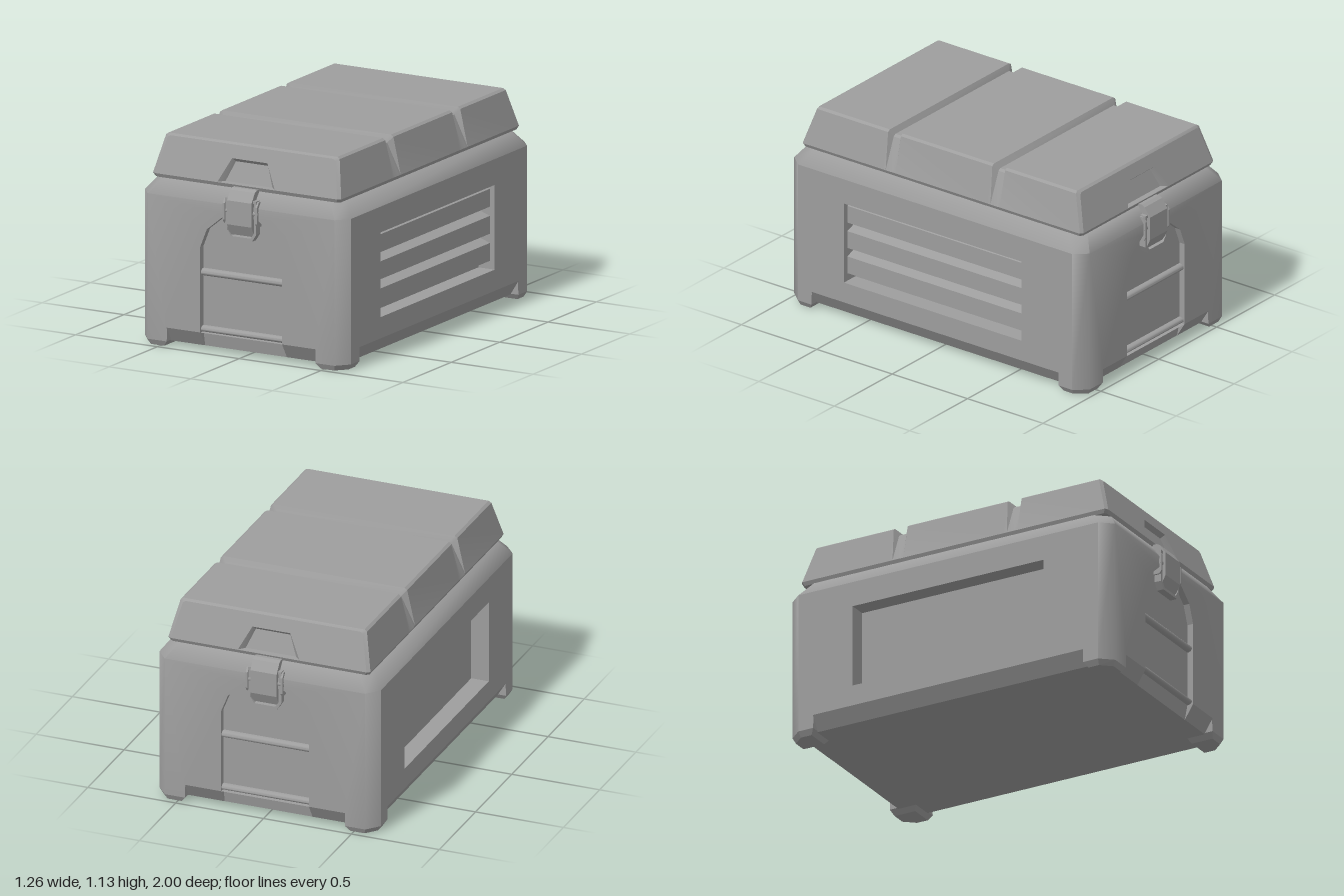
import * as THREE from 'three';
import { mergeGeometries, toCreasedNormals } from 'three/addons/utils/BufferGeometryUtils.js';
import { ConvexGeometry } from 'three/addons/geometries/ConvexGeometry.js';

const material = new THREE.MeshStandardMaterial({ color: 0x9d9d9d });

function add(parent, name, geometry) {
  const mesh = new THREE.Mesh(geometry, material);
  mesh.name = name;
  parent.add(mesh);
  return mesh;
}

// Skin between rings of [x, y, z]; rings run counter-clockwise against the direction of advance
function loft(rings, { closed = true, first = false, last = false } = {}) {
  const out = [], n = rings[0].length;
  for (let i = 0; i + 1 < rings.length; i++) {
    for (let j = 0; j < (closed ? n : n - 1); j++) {
      const k = (j + 1) % n, [p, q] = [rings[i], rings[i + 1]];
      out.push(p[j], p[k], q[k], p[j], q[k], q[j]);
    }
  }
  const cap = (ring, flip) => {
    const c = [0, 1, 2].map(a => ring.reduce((s, p) => s + p[a], 0) / n);
    ring.forEach((p, j) => {
      const q = ring[(j + 1) % n];
      out.push(c, ...(flip ? [q, p] : [p, q]));
    });
  };
  if (first) cap(rings[0], true);
  if (last) cap(rings[rings.length - 1], false);
  const g = new THREE.BufferGeometry();
  g.setAttribute('position', new THREE.Float32BufferAttribute(out.flat(), 3));
  return g;
}

const toShape = pts => new THREE.Shape(pts.map(p => new THREE.Vector2(...p)));
const mirrorX = half => [...half, ...half.map(([x, y]) => [-x, y]).reverse()];

// Flat sheet in x and y, with an optional hole, placed at depth z(y)
function sheet(outline, hole, z) {
  const shape = toShape(outline);
  if (hole) shape.holes.push(toShape(hole));
  const g = new THREE.ShapeGeometry(shape).toNonIndexed();
  g.deleteAttribute('uv');
  g.deleteAttribute('normal');
  const p = g.attributes.position;
  for (let i = 0; i < p.count; i++) p.setZ(i, z(p.getY(i)));
  return g;
}

// Profile of [z, y] points drawn out along x
function bar(profile, width, x = 0) {
  const g = new THREE.ExtrudeGeometry(toShape(profile), { depth: width, bevelEnabled: false });
  return g.rotateY(-Math.PI / 2).translate(x + width / 2, 0, 0);
}

// Horizontal outline of the body with cut corners; notch sets back the end panels
function plan(y, inset, notch) {
  const X = 0.63 - inset, x = 0.57 - inset, Z = 0.98 - inset, z = 0.91 - inset;
  const dent = notch ? [[0.25, -Z], [0.25, -Z + notch], [-0.25, -Z + notch], [-0.25, -Z]] : [];
  const half = [[X, z], [X, -z], [x, -Z], ...dent, [-x, -Z]];
  return [...half, ...half.map(p => [-p[0], -p[1]])].map(([a, b]) => [a, y, b]);
}

const arch = mirrorX([[0.25, 0.105], [0.25, 0.57], [0.21, 0.67], [0.1, 0.76]]);

function makeBody() {
  const body = new THREE.Group();
  body.name = 'body';

  // End walls, cut corners and shoulder share smooth normals
  const wall = sheet([...mirrorX([[0.455, 0.105], [0.455, 0.03], [0.57, 0.03], [0.57, 0.82]]),
    ...[...arch].reverse()], null, () => 0.98);
  const low = plan(0.03, 0), high = plan(0.82, 0);
  const corners = [1, 3, 5, 7].map(i => loft(
    [low, high].map(r => [r[i], r[(i + 1) % 8]]), { closed: false }));
  const shell = mergeGeometries([wall, wall.clone().rotateY(Math.PI), ...corners,
    loft([high, plan(0.9, 0.06)], { last: true })]);
  add(body, 'shell', toCreasedNormals(shell, 0.95));

  add(body, 'underside', toCreasedNormals(
    loft([plan(0.025, 0.05, 0.001), plan(0.105, 0, 0.035)], { first: true }), 0.1));

  // Feet, tucked just behind the walls
  for (const sx of [1, -1]) for (const sz of [1, -1]) {
    const pts = [];
    const level = (y, list) => list.forEach(([x, z]) => pts.push(new THREE.Vector3(sx * x, y, sz * z)));
    level(0.105, [[0.455, 0.976], [0.568, 0.976], [0.626, 0.908], [0.626, 0.82], [0.455, 0.82]]);
    level(0.03, [[0.455, 0.98], [0.57, 0.98], [0.63, 0.91], [0.63, 0.82], [0.455, 0.82]]);
    level(0, [[0.48, 0.965], [0.56, 0.965], [0.612, 0.905], [0.612, 0.84], [0.48, 0.84]]);
    add(body, 'foot', new ConvexGeometry(pts));
  }

  // Side walls with a deep rectangular recess; only the left one has louvres
  const sideOutline = mirrorX([[0.82, 0.105], [0.82, 0.03], [0.91, 0.03], [0.91, 0.82]]);
  for (const [name, turn, u0, u1] of [['leftSide', 1, -0.605, 0.575], ['rightSide', -1, -0.58, 0.58]]) {
    const side = new THREE.Group();
    side.name = name;
    side.rotation.y = turn * Math.PI / 2;
    const opening = [[u1, 0.22], [u1, 0.68], [u0, 0.68], [u0, 0.22]];
    add(side, 'sideWall', toCreasedNormals(sheet(sideOutline, opening, () => 0.63), 0.3));
    add(side, 'sideRecess', toCreasedNormals(loft([0.63, 0.53].map(z =>
      opening.map(([x, y]) => [x, y, z])), { last: true }), 0.3));
    if (name === 'leftSide') for (let k = 0; k < 3; k++) {
      const t = 0.68 - k * 0.147;
      add(side, 'louvre', bar([[0.53, t - 0.147], [0.6, t - 0.122], [0.6, t - 0.025], [0.53, t]],
        u1 - u0, (u0 + u1) / 2));
    }
    body.add(side);
  }
  return body;
}

const lidEndZ = y => (y < 0.92 ? 0.93 - 0.5 * (0.92 - y) : 0.93 - 0.3 * (y - 0.92));
// Half section of the lid, drawn in by dx (low at the lip) and lowered at the top by dy
const lidProfile = (low, dx, dy) => mirrorX([[0.565 - low, 0.9], [0.575 - low, 0.92],
  [0.53 - dx, 1.12 - dy], [0.515 - dx, 1.13 - dy]]);

function makeLid() {
  const lid = new THREE.Group();
  lid.name = 'lid';
  // Stations along z: beveled ends and two cross grooves that fade out down the sides
  const full = lidProfile(0, 0, 0), groove = lidProfile(0, 0.025, 0.03), end = lidProfile(0.018, 0.018, 0.01);
  const ring = (profile, z) => profile.map(([x, y]) => [x, y, z(y)]);
  const half = [[0.388, full], [0.37, groove], [0.325, groove], [0.303, full]];
  const rings = [
    ring(end, y => -lidEndZ(y)), ring(full, y => 0.012 - lidEndZ(y)),
    ...half.map(([z, p]) => ring(p, () => -z)),
    ...[...half].reverse().map(([z, p]) => ring(p, () => z)),
    ring(full, y => lidEndZ(y) - 0.012), ring(end, lidEndZ)];
  add(lid, 'lidShell', toCreasedNormals(loft(rings), 0.4));

  // Ends with a lip and a trapezoid finger recess
  const outer = mirrorX([[0.175, 0.922], [0.108, 1.05]]);
  const inner = mirrorX([[0.143, 0.924], [0.098, 1.03]]);
  for (const turn of [0, Math.PI]) {
    const face = mergeGeometries([
      sheet(end.slice(1, -1), outer, lidEndZ),
      sheet([end[0], end[1], end[6], end[7]], null, lidEndZ),
      loft([ring(outer, lidEndZ), ring(inner, y => lidEndZ(y) - 0.03)], { last: true })]);
    add(lid, 'lidEnd', toCreasedNormals(face, 0.3)).rotation.y = turn;
  }
  return lid;
}

// Recessed panel with ribs, and the latch above it
function makeEnd(name) {
  const end = new THREE.Group();
  end.name = name;
  add(end, 'recessedPanel', toCreasedNormals(
    loft([0.98, 0.945].map(z => arch.map(([x, y]) => [x, y, z])), { last: true }), 0.3));
  for (const [y, h] of [[0.41, 0.04], [0.105, 0.035]]) {
    const round = [];
    for (let i = 0; i <= 8; i++) {
      const a = (i / 8 - 0.5) * Math.PI;
      round.push([0.945 + 0.028 * Math.cos(a), y + h / 2 * (1 + Math.sin(a))]);
    }
    add(end, 'panelRib', toCreasedNormals(bar(round, 0.5), 0.9));
  }

  const latch = new THREE.Group();
  latch.name = 'latch';
  add(latch, 'latchLever', bar([[0.91, 0.91], [0.91, 0.88], [0.96, 0.83], [0.96, 0.662], [0.972, 0.662],
    [1, 0.72], [1, 0.85], [0.965, 0.9], [0.945, 0.91]], 0.15));
  const frame = toShape(mirrorX([[0.07, 0.64], [0.095, 0.68], [0.095, 0.86]]));
  frame.holes.push(toShape(mirrorX([[0.06, 0.655], [0.08, 0.685], [0.08, 0.845]])));
  add(latch, 'latchFrame', new THREE.ExtrudeGeometry(frame, { depth: 0.045, bevelEnabled: false }).translate(0, 0, 0.94));
  for (const s of [1, -1]) {
    add(latch, 'latchEar', bar([[0.94, 0.72], [0.98, 0.72], [0.993, 0.74], [0.993, 0.83], [0.975, 0.855], [0.94, 0.855]],
      0.012, s * 0.099));
  }
  add(latch, 'latchPin', new THREE.CylinderGeometry(0.016, 0.016, 0.214, 12).rotateZ(Math.PI / 2).translate(0, 0.79, 0.972));
  end.add(latch);
  return end;
}

export function createModel() {
  const model = new THREE.Group();
  model.name = 'storageBox';
  const back = makeEnd('backEnd');
  back.rotation.y = Math.PI;
  model.add(makeBody(), makeLid(), makeEnd('frontEnd'), back);
  return model;
}
